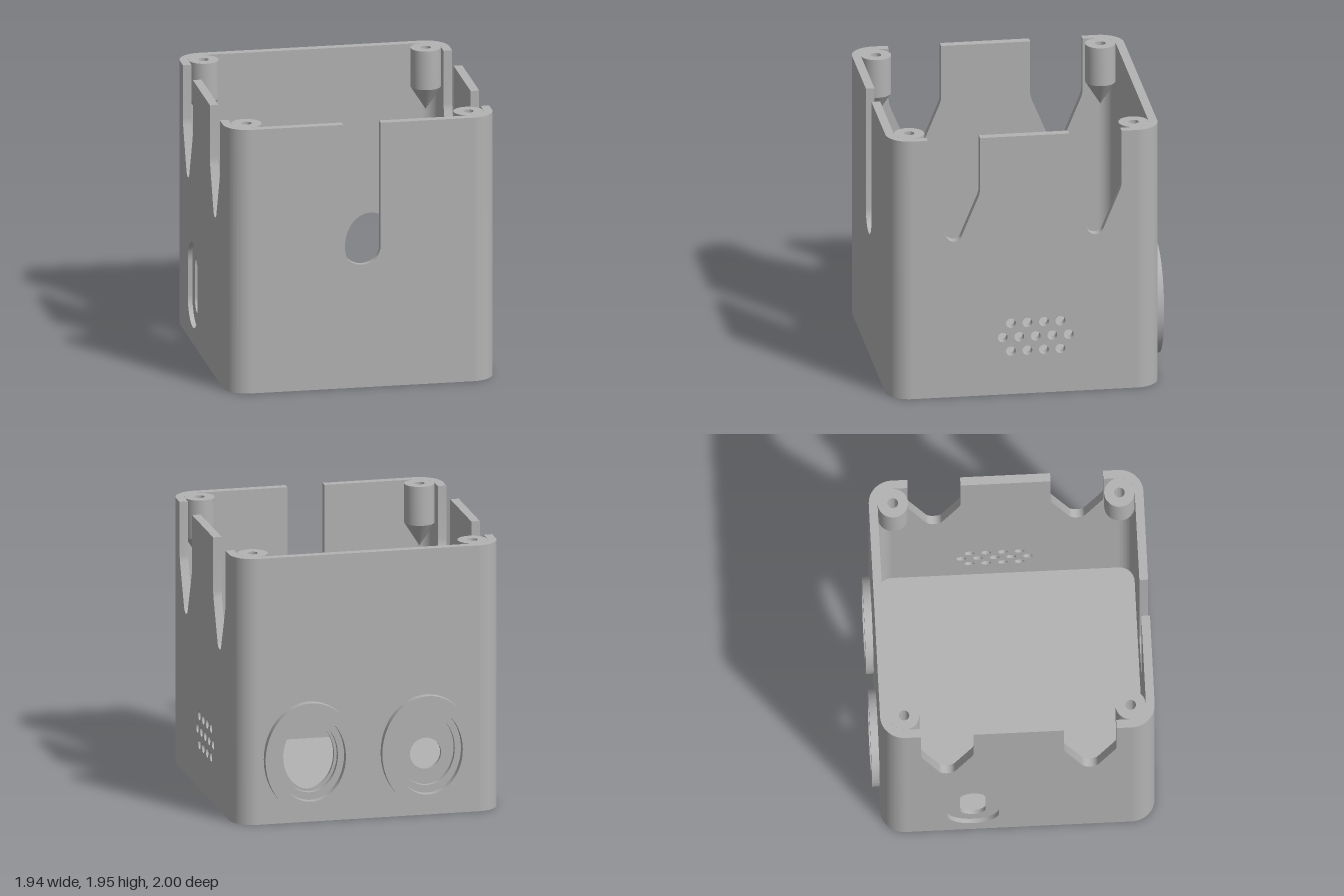
import * as THREE from 'three';
import { toCreasedNormals } from 'three/addons/utils/BufferGeometryUtils.js';

const H = 1.945, T = 0.062;              // height, wall thickness
const X = 0.97, ZF = 1.0, ZB = -0.945;   // outer faces
const R = 0.17, RI = R - T;              // outer and inner corner radius
const CX = X - R, CF = ZF - R, CB = ZB + R; // corner centres
const FLOOR = 0.1;

// Points of a notch cut from the top edge, listed from its right side to its left
function notch(c, half, shoulder, r, cy, tilt) {
  const pts = [[c + half, H], ...shoulder.map(([u, v]) => [c + u, v])];
  for (let i = 0; i <= 12; i++) {
    const a = -tilt - (Math.PI - 2 * tilt) * i / 12;
    pts.push([c + r * Math.cos(a), cy + r * Math.sin(a)]);
  }
  for (const [u, v] of [...shoulder].reverse()) pts.push([c - u, v]);
  pts.push([c - half, H]);
  return pts;
}

// Flat wall outline; notches are ordered from right to left
function wallShape(u0, u1, notches = [], holes = []) {
  const pts = [[u0, 0], [u1, 0], [u1, H], ...notches.flat(), [u0, H]];
  const s = new THREE.Shape(pts.map(([u, v]) => new THREE.Vector2(u, v)));
  s.holes.push(...holes);
  return s;
}

const ellipse = (C, x, y, rx, ry) => new C().absellipse(x, y, rx, ry, 0, Math.PI * 2, false);

function stadium(x, y, r, halfLength) {
  const p = new THREE.Path();
  p.absarc(x, y + halfLength, r, 0, Math.PI, false);
  p.absarc(x, y - halfLength, r, Math.PI, Math.PI * 2, false);
  p.closePath();
  return p;
}

function extrude(shape, depth, curveSegments = 24) {
  return new THREE.ExtrudeGeometry(shape, { depth, bevelEnabled: false, curveSegments });
}

export function createModel() {
  const group = new THREE.Group();
  const grey = new THREE.MeshStandardMaterial({ color: 0xb3b3b3 });
  grey.name = 'plain grey';

  function add(name, geometry) {
    const mesh = new THREE.Mesh(toCreasedNormals(geometry, 0.5), grey);
    mesh.name = name;
    group.add(mesh);
    return mesh;
  }
  // Wall facing along z, from z0 to z1
  const addZ = (name, shape, z0, z1) => add(name, extrude(shape, z1 - z0).translate(0, 0, z0));
  // Wall facing along x, from x0 to x1, with the shape's u axis along z
  const addX = (name, shape, x0, x1) =>
    add(name, extrude(shape, x1 - x0).rotateY(-Math.PI / 2).translate(x1, 0, 0));
  // Prism standing on the ground, shape drawn as (x, -z)
  const addY = (name, shape, h) => add(name, extrude(shape, h).rotateX(-Math.PI / 2));

  // Floor, filling the inside outline
  const floor = new THREE.Shape();
  floor.absarc(CX, -CB, RI, 0, Math.PI / 2, false);
  floor.absarc(-CX, -CB, RI, Math.PI / 2, Math.PI, false);
  floor.absarc(-CX, -CF, RI, Math.PI, Math.PI * 1.5, false);
  floor.absarc(CX, -CF, RI, Math.PI * 1.5, Math.PI * 2, false);
  floor.closePath();
  addY('floor', floor, FLOOR);

  // Rounded corners and the screw posts inside them
  const corners = [[CX, CB], [-CX, CB], [-CX, CF], [CX, CF]];
  corners.forEach(([x, z], i) => {
    const a = i * Math.PI / 2;
    const s = new THREE.Shape();
    s.absarc(x, -z, R, a, a + Math.PI / 2, false);
    s.absarc(x, -z, RI, a + Math.PI / 2, a, true);
    s.closePath();
    addY('corner', s, H);

    const profile = [[0, 1.49], [0.108, 1.66], [0.108, H], [0.037, H], [0.037, 1.62], [0, 1.62]];
    const post = new THREE.LatheGeometry(profile.map(([r, y]) => new THREE.Vector2(r, y)), 40);
    add('screwPost', post).position.set(x, 0, z);
  });

  // Front wall: rounded slot, with a shallow square relief on the inner side
  const u = notch(0, 0.135, [], 0.135, 1.04, 0);
  const relief = [[0.135, H], [0.135, 0.78], [-0.135, 0.78], [-0.135, H]];
  addZ('frontWallOuter', wallShape(-CX, CX, [u]), 0.957, ZF);
  addZ('frontWallInner', wallShape(-CX, CX, [relief]), ZF - T, 0.957);

  // Side walls: two tapered notches each
  const shoulder = [[0.187, 1.555], [0.184, 1.53], [0.177, 1.505]];
  const vees = [0.535, -0.477].map(c => notch(c, 0.187, shoulder, 0.06, 1.235, 0.39));

  // Left-hand x side carries the speaker grille
  const grille = [];
  [[0.535, 0.127, 4], [0.43, 0.186, 5], [0.325, 0.127, 4]].forEach(([y, start, n]) => {
    for (let i = 0; i < n; i++) {
      grille.push(ellipse(THREE.Path, start - i * 0.118, y, 0.035, 0.035));
    }
  });
  addX('grilleWall', wallShape(CB, CF, vees, grille), X - T, X);

  // Opposite side has a countersunk oblong port
  addX('portWallOuter', wallShape(CB, CF, vees, [stadium(-0.295, 0.43, 0.185, 0.125)]), -X, -0.937);
  addX('portWallInner', wallShape(CB, CF, vees, [stadium(-0.295, 0.43, 0.09, 0.12)]), -0.937, -X + T);

  // Back wall: two raised oval rims with stepped openings
  const ex = 0.425, ey = 0.475;
  const step = [ex, -ex].map(x => ellipse(THREE.Path, x, ey, 0.205, 0.26));
  addZ('backWallOuter', wallShape(-CX, CX, [], step), ZB, -0.91);
  const openings = [
    ellipse(THREE.Path, ex, ey, 0.185, 0.24),
    ellipse(THREE.Path, -ex, 0.44, 0.113, 0.113),
  ];
  addZ('backWallInner', wallShape(-CX, CX, [], openings), -0.91, ZB + T);
  for (const x of [ex, -ex]) {
    const rim = ellipse(THREE.Shape, x, ey, 0.335, 0.405);
    rim.holes.push(ellipse(THREE.Path, x, ey, 0.25, 0.315));
    addZ('ovalRim', rim, -1, ZB);
  }

  return group;
}
